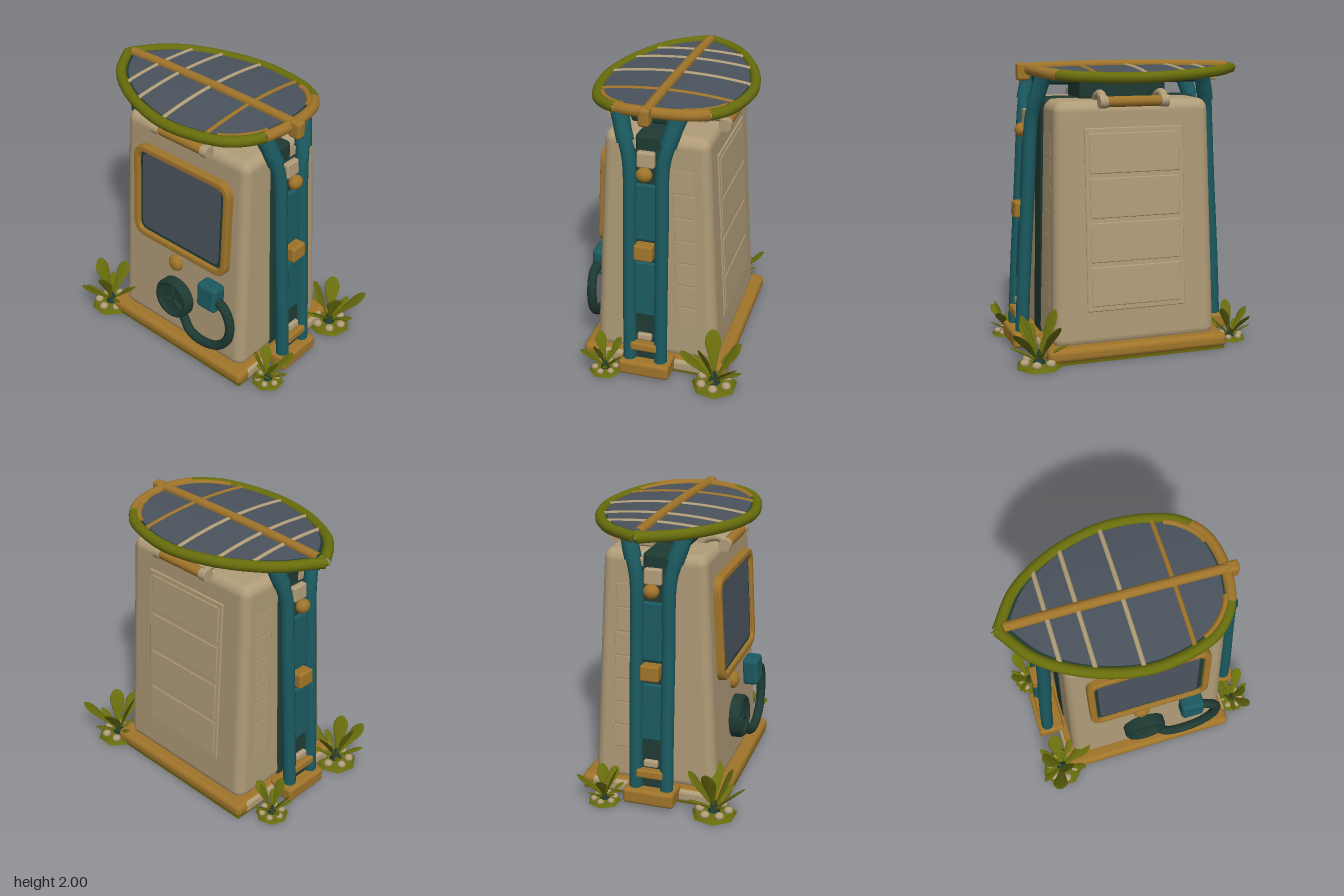
import * as THREE from 'three';
import { RoundedBoxGeometry } from 'three/addons/geometries/RoundedBoxGeometry.js';

const mat = (name, color) => {
  const m = new THREE.MeshStandardMaterial({ color });
  m.name = name;
  return m;
};
const V = (x, y, z) => new THREE.Vector3(x, y, z);

export function createModel() {
  const beige = mat('beige', 0xb09c78);
  const ochre = mat('ochre', 0x9f742a);
  const teal = mat('teal', 0x1b5a60);
  const dark = mat('dark green', 0x1f3a33);
  const slate = mat('slate', 0x4a525c);
  const olive = mat('olive', 0x686d0c);
  const soil = mat('moss', 0x68650a);
  const model = new THREE.Group();

  const add = (name, geo, m, pos = [0, 0, 0], parent = model) => {
    const mesh = new THREE.Mesh(geo, m);
    mesh.name = name;
    mesh.position.set(...pos);
    parent.add(mesh);
    return mesh;
  };
  const group = (name, pos, parent = model) => {
    const g = new THREE.Group();
    g.name = name;
    g.position.set(...pos);
    parent.add(g);
    return g;
  };
  const rbox = (w, h, d, r) => new RoundedBoxGeometry(w, h, d, 3, r);
  const tube = (pts, r, n = 24) =>
    new THREE.TubeGeometry(new THREE.CatmullRomCurve3(pts), n, r, 10, false);
  // box narrowing towards its top
  const taperBox = (w, h, d, r, tx, tz) => {
    const g = rbox(w, h, d, r), p = g.attributes.position;
    for (let i = 0; i < p.count; i++) {
      const t = p.getY(i) / h + 0.5;
      p.setX(i, p.getX(i) * (1 + (tx - 1) * t));
      p.setZ(i, p.getZ(i) * (1 + (tz - 1) * t));
    }
    return g;
  };
  const roundRect = (w, h, r, P = THREE.Shape) => {
    const s = new P(), x = w / 2, y = h / 2;
    s.moveTo(-x + r, -y);
    s.lineTo(x - r, -y); s.quadraticCurveTo(x, -y, x, -y + r);
    s.lineTo(x, y - r); s.quadraticCurveTo(x, y, x - r, y);
    s.lineTo(-x + r, y); s.quadraticCurveTo(-x, y, -x, y - r);
    s.lineTo(-x, -y + r); s.quadraticCurveTo(-x, -y, -x + r, -y);
    return s;
  };

  // base and cabinet
  add('base', rbox(1.29, 0.1, 1.04, 0.04), ochre, [0, 0.062, -0.01]);
  add('baseSideTrim', rbox(1.298, 0.092, 0.88, 0.03), beige, [0, 0.06, -0.015]);
  add('baseUnderside', new THREE.BoxGeometry(1.26, 0.02, 1.01), soil, [0, 0.01, -0.01]);
  add('cabinet', taperBox(1.17, 1.67, 0.89, 0.075, 0.93, 0.79), beige, [0, 0.91, -0.012]);
  add('sideChannel', taperBox(1.176, 1.66, 0.2, 0.03, 0.955, 1), dark, [0, 0.92, 0.02]);
  add('panelMount', rbox(0.62, 0.18, 0.32, 0.03), dark, [0, 1.82, 0.01]);
  add('mountCrossbeam', rbox(1.16, 0.07, 0.26, 0.025), dark, [0, 1.875, 0.01]);

  // sloping front with screen and charging gear
  const front = group('frontControls', [0, 0, 0.437]);
  front.rotation.x = -0.055;
  const frame = roundRect(0.84, 0.71, 0.1);
  frame.holes.push(roundRect(0.79, 0.66, 0.08, THREE.Path));
  add('screenFrame', new THREE.ExtrudeGeometry(frame, {
    depth: 0.05, bevelEnabled: true, bevelSize: 0.012, bevelThickness: 0.012, bevelSegments: 2,
  }), ochre, [0.01, 1.195, -0.01], front);
  add('screenSurround', rbox(0.81, 0.68, 0.04, 0.015), dark, [0.01, 1.195, 0.005], front);
  add('screen', new THREE.ExtrudeGeometry(roundRect(0.71, 0.595, 0.05),
    { depth: 0.006, bevelEnabled: false }), slate, [0.005, 1.2, 0.025], front);
  const button = add('button', new THREE.SphereGeometry(0.062, 20, 12), ochre, [-0.045, 0.71, 0.005], front);
  button.scale.z = 0.7;
  add('socketBox', rbox(0.17, 0.2, 0.12, 0.03), teal, [0.325, 0.645, 0.05], front);
  const disc = add('plugDisc', new THREE.LatheGeometry([
    [0, 0.055], [0.11, 0.05], [0.12, 0.075], [0.14, 0.08], [0.155, 0.06], [0.155, -0.02],
  ].map(([x, y]) => new THREE.Vector2(x, y)).reverse(), 32), dark, [-0.03, 0.425, 0], front);
  disc.rotation.x = Math.PI / 2;
  for (let i = 0; i < 3; i++) {
    const a = Math.PI / 2 + i * Math.PI * 2 / 3;
    const spoke = add('plugSpoke', rbox(0.09, 0.03, 0.03, 0.012), dark,
      [-0.03 + Math.cos(a) * 0.06, 0.425 + Math.sin(a) * 0.06, 0.055], front);
    spoke.rotation.z = a;
  }
  add('cable', tube([V(0.39, 0.64, 0.06), V(0.47, 0.61, 0.07), V(0.52, 0.5, 0.065), V(0.5, 0.35, 0.06),
    V(0.41, 0.25, 0.06), V(0.27, 0.21, 0.06), V(0.15, 0.23, 0.055), V(0.07, 0.31, 0.04)], 0.034, 48), dark, [0, 0, 0], front);

  // raised rear door with its ribs
  const rear = group('rearDoor', [0, 0, -0.457]);
  rear.rotation.x = 0.055;
  add('doorPlate', rbox(0.7, 1.24, 0.02, 0.008), beige, [0, 0.95, -0.002], rear);
  for (let i = 0; i < 4; i++)
    add('doorPanel', rbox(0.64, 0.27, 0.016, 0.007), beige, [0, 0.5 + i * 0.3, -0.009], rear);

  // front and rear grab handles
  for (const s of [1, -1]) {
    const g = group(s > 0 ? 'frontHandle' : 'rearHandle', [0.01, 0, -0.01]);
    for (const x of [-0.215, 0.215]) {
      add('handleArm', tube([V(x, 1.72, s * 0.2), V(x, 1.775, s * 0.26), V(x, 1.785, s * 0.35),
        V(x, 1.74, s * 0.39)], 0.029), beige, [0, 0, 0], g);
      const cap = add('handleEnd', new THREE.CylinderGeometry(0.042, 0.042, 0.055, 14), beige, [x, 1.74, s * 0.385], g);
      cap.rotation.z = Math.PI / 2;
    }
    const bar = add('handleBar', new THREE.CylinderGeometry(0.036, 0.036, 0.4, 14), ochre, [0, 1.74, s * 0.385], g);
    bar.rotation.z = Math.PI / 2;
  }

  // paired side posts with their fittings
  for (const s of [1, -1]) {
    const side = s > 0 ? 'left' : 'right';
    add(side + 'Foot', rbox(0.2, 0.11, 0.36, 0.025), ochre, [s * 0.7, 0.085, 0.015]);
    for (const k of [1, -1]) {
      add(side + 'Post', tube([V(s * 0.725, 0.1, 0.02 + k * 0.11), V(s * 0.7, 0.6, 0.02 + k * 0.11),
        V(s * 0.665, 1.15, 0.02 + k * 0.11), V(s * 0.638, 1.6, 0.02 + k * 0.115),
        V(s * 0.615, 1.74, 0.02 + k * 0.15), V(s * 0.57, 1.9, 0.02 + k * 0.21)], 0.047, 40), teal);
      add(side + 'PostHead', tube([V(s * 0.622, 1.72, 0.02 + k * 0.14), V(s * 0.6, 1.8, 0.02 + k * 0.165),
        V(s * 0.57, 1.9, 0.02 + k * 0.19)], 0.057), teal);
    }
    const g = group(side + 'PostFittings', [s * 0.73, 0, 0.02]);
    g.rotation.z = s * 0.063;
    add('spine', rbox(0.03, 1.55, 0.2, 0.01), dark, [-s * 0.015, 0.9, 0], g);
    add('upperInfill', rbox(0.05, 0.4, 0.14, 0.015), teal, [0, 1.25, 0], g);
    add('lowerInfill', rbox(0.05, 0.4, 0.14, 0.015), teal, [0, 0.69, 0], g);
    add('clamp', rbox(0.1, 0.11, 0.13, 0.015), ochre, [s * 0.03, 0.98, 0], g);
    add('lowerClamp', rbox(0.07, 0.06, 0.19, 0.015), ochre, [s * 0.02, 0.25, 0], g);
    add('lowerPlate', rbox(0.04, 0.05, 0.1, 0.012), beige, [s * 0.01, 0.32, 0], g);
    add('hookPlate', rbox(0.05, 0.11, 0.12, 0.015), beige, [s * 0.01, 1.62, 0], g);
    const hook = add('hook', new THREE.SphereGeometry(0.052, 14, 10), ochre, [s * 0.048, 1.53, 0], g);
    hook.scale.set(0.85, 0.95, 1.05);

    // vent slats on the side wall behind the posts
    const vents = group(side + 'Vents', [s * 0.582, 0, -0.235]);
    vents.rotation.z = s * 0.025;
    for (let i = 0; i < 7; i++)
      add('ventSlat', rbox(0.014, 0.165, 0.14, 0.006), beige, [0, 0.42 + i * 0.17, i * 0.006], vents);
  }

  // leaf-shaped solar roof: domed skin, inset cells, rim, ribs and midrib
  const roof = group('solarRoof', [0, 0, -0.01]);
  const roofY = (x, z) => 1.955 - 0.05 * (z / 0.54) ** 2 - 0.02 * (x / 0.9) ** 2;
  const outline = new THREE.CatmullRomCurve3([[-0.865, 0], [-0.7, 0.23], [-0.5, 0.37], [-0.25, 0.47], [0, 0.51],
    [0.25, 0.48], [0.44, 0.41], [0.57, 0.27], [0.615, 0.12], [0.625, 0]].map(([x, z]) => V(x, 0, z)));
  const edge = outline.getSpacedPoints(48);
  const skin = (scale, lift, up) => {
    const pos = [], idx = [], n = 12;
    edge.forEach((e, i) => {
      for (let j = 0; j <= n; j++) {
        const x = e.x * scale, z = e.z * scale * (j / n * 2 - 1);
        pos.push(x, roofY(x, z) + lift, z);
        if (i && j) {
          const d = i * (n + 1) + j, c = d - 1, b = d - n - 1, a = b - 1;
          idx.push(...(up ? [a, b, c, b, d, c] : [a, c, b, b, c, d]));
        }
      }
    });
    const g = new THREE.BufferGeometry();
    g.setAttribute('position', new THREE.Float32BufferAttribute(pos, 3));
    g.setIndex(idx);
    g.computeVertexNormals();
    return g;
  };
  add('roofTop', skin(1, 0, true), dark, [0, 0, 0], roof);
  add('solarCells', skin(0.925, 0.006, true), slate, [0, 0, 0], roof);
  add('roofUnderside', skin(1, -0.03, false), dark, [0, 0, 0], roof);
  for (const s of [1, -1]) {
    const pts = edge.map(e => V(e.x, roofY(e.x, e.z) - 0.008, s * e.z));
    const split = s > 0 ? 42 : 39;
    add('leafRim', tube(pts.slice(0, split + 1), 0.037, 60), olive, [0, 0, 0], roof);
    add('endRim', tube(pts.slice(split), 0.038, 24), ochre, [0, 0, 0], roof);
    // thin warm inlay along the end of the cells
    add('endInlay', tube(edge.slice(35, 44).map(e => V(e.x - 0.03, roofY(e.x, e.z) + 0.004, s * e.z * 0.95)), 0.022),
      ochre, [0, 0, 0], roof);
  }
  const tip = add('leafTip', new THREE.ConeGeometry(0.042, 0.08, 12), olive, [-0.87, roofY(-0.865, 0) - 0.008, 0], roof);
  tip.rotation.z = Math.PI / 2;
  for (const [x, w, m] of [[-0.55, 0.33, beige], [-0.35, 0.43, beige], [-0.06, 0.5, beige], [0.28, 0.47, ochre]]) {
    const pts = [];
    for (let j = -6; j <= 6; j++) pts.push(V(x, roofY(x, w * j / 6), w * j / 6));
    add('roofRib', tube(pts, 0.017, 24), m, [0, 0, 0], roof);
  }
  add('midrib', tube([-0.82, -0.5, 0, 0.4, 0.68].map(x => V(x, roofY(x, 0) + 0.008, x * 0.02 + 0.01)), 0.034, 24), ochre, [0, 0, 0], roof);
  add('midribEnd', rbox(0.09, 0.12, 0.075, 0.02), ochre, [0.665, 1.925, 0.025], roof);
  add('roofBracket', rbox(0.14, 0.05, 0.1, 0.015), beige, [-0.68, 1.87, 0.02], roof);

  // paddle leaf: a flattened ellipsoid narrowing to a stalk
  const leafGeo = new THREE.SphereGeometry(1, 14, 12);
  leafGeo.translate(0, 1, 0);
  const lp = leafGeo.attributes.position;
  for (let i = 0; i < lp.count; i++) {
    const t = lp.getY(i) / 2;
    lp.setX(i, lp.getX(i) * Math.min(1.1, 0.2 + 1.4 * t * t));
    lp.setZ(i, lp.getZ(i) + 3 * t * t);
  }
  leafGeo.computeVertexNormals();

  // corner plants on mossy pads with pebbles
  const plants = [[-0.7, 0.46, 0.98, 0.4], [0.74, 0.31, 0.72, 1.2], [-0.76, -0.31, 0.72, 2.1], [0.7, -0.47, 1, 0.9]];
  for (const [x, z, size, turn] of plants) {
    const g = group('plant', [x, 0, z]);
    g.scale.setScalar(size);
    const pad = add('mossPad', new THREE.CylinderGeometry(0.14, 0.16, 0.025, 7), olive, [0, 0.0125, 0], g);
    pad.rotation.y = turn;
    add('plantCore', new THREE.ConeGeometry(0.05, 0.11, 8), dark, [0, 0.07, 0], g);
    for (let i = 0; i < 9; i++) {
      const broad = i % 2 === 0;
      const leaf = add('leaf', leafGeo, olive, [0, 0.03, 0], g);
      leaf.scale.set(broad ? 0.066 : 0.03, broad ? 0.165 + (i % 4) * 0.008 : 0.115, 0.009);
      leaf.rotation.set(broad ? 0.32 + (i % 3) * 0.2 : 0.9, turn + i * Math.PI * 2 / 9, 0, 'YXZ');
    }
    for (let i = 0; i < 6; i++) {
      const a = turn + i * 1.05;
      const stone = add('pebble', new THREE.SphereGeometry(0.034, 8, 6), beige,
        [Math.cos(a) * 0.1, 0.035, Math.sin(a) * 0.1], g);
      stone.scale.y = 0.8;
    }
  }
  return model;
}
